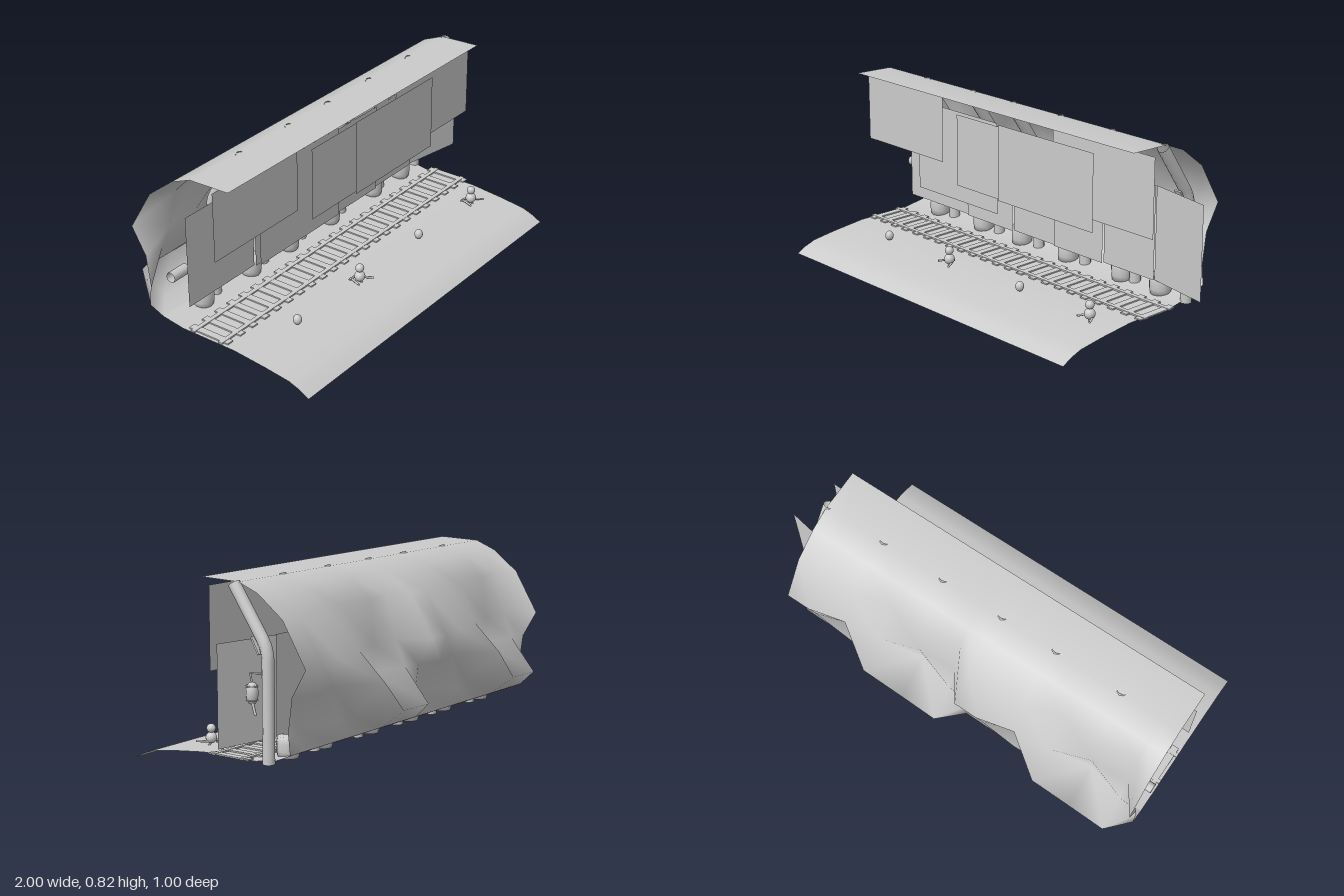
import * as THREE from 'three';

const grey = new THREE.MeshStandardMaterial({ color: 0xcccccc });
const thin = new THREE.MeshStandardMaterial({ color: 0xcccccc, side: THREE.DoubleSide });

function add(parent, name, geometry, x = 0, y = 0, z = 0, material = grey) {
  const mesh = new THREE.Mesh(geometry, material);
  mesh.name = name;
  mesh.position.set(x, y, z);
  parent.add(mesh);
  return mesh;
}

// Smooth open surface through rows of [x, y, z] points, rows running front to back
function sheet(rows) {
  const n = rows[0].length, index = [];
  for (let i = 0; i < rows.length - 1; i++) {
    for (let j = 0; j < n - 1; j++) {
      const a = i * n + j, c = a + n;
      index.push(a, a + 1, c, a + 1, c + 1, c);
    }
  }
  const g = new THREE.BufferGeometry();
  g.setAttribute('position', new THREE.Float32BufferAttribute(rows.flat(2), 3));
  g.setIndex(index);
  g.computeVertexNormals();
  return g;
}

// Straight round rod between two points
function rod(parent, name, from, to, r) {
  const a = new THREE.Vector3(...from), b = new THREE.Vector3(...to);
  const curve = new THREE.LineCurve3(a, b);
  return add(parent, name, new THREE.TubeGeometry(curve, 1, r, 8), 0, 0, 0, thin);
}

export function createModel() {
  const model = new THREE.Group();
  const x0 = -0.99, x1 = 0.82, period = 0.905;

  // Ground strip with a rounded front bank, reaching back to the foot of the wall
  const bank = [[0, 0.5], [0.025, 0.455], [0.045, 0.4], [0.062, 0.28], [0.08, 0.11], [0.082, -0.17], [0.1, -0.28]];
  add(model, 'ground', sheet(bank.map(([y, z]) => [[x0, y, z], [x1, y, z]])), 0, 0, 0, thin);

  // Overhanging roof flowing into a rocky wall whose relief repeats twice
  const steps = [0, 0.09, 0.27, 0.45, 0.62, 0.79];
  const relief = [
    [0.82, 0.11], [0.815, -0.09], [0.775, -0.19],
    [0.68, -0.315, -0.25, -0.29, -0.26, -0.31, -0.315],
    [0.49, -0.43, -0.30, -0.31, -0.37, -0.39, -0.43],
    [0.37, -0.36, -0.35, -0.30, -0.50, -0.35, -0.40],
    [0.22, -0.34, -0.475, -0.47, -0.32, -0.38, -0.29],
    [0.13, -0.35], [0.1, -0.28],
  ];
  const wall = relief.map(([y, ...depth]) => {
    const row = [];
    for (let k = 0; k <= 12; k++) {
      row.push([x0 + Math.floor(k / 6) * period + steps[k % 6], y, depth[(k % 6) % depth.length]]);
    }
    return row;
  });
  add(model, 'rockWall', sheet(wall), 0, 0, 0, thin);

  // Railway track: two flat rails among sleepers
  const track = new THREE.Group();
  track.name = 'track';
  model.add(track);
  for (const z of [0.035, -0.115]) {
    add(track, 'rail', new THREE.BoxGeometry(1.835, 0.007, 0.02), -0.073, 0.087, z);
  }
  for (let i = 0; i < 23; i++) {
    add(track, 'sleeper', new THREE.BoxGeometry(0.034, 0.006, 0.212), -0.96 + i * 0.081, 0.086, -0.04);
  }

  // Bent support posts with a bracket plate at the bend
  const path = new THREE.CurvePath();
  const pt = (y, z) => new THREE.Vector3(0, y, z);
  path.add(new THREE.LineCurve3(pt(0.08, -0.24), pt(0.5, -0.24)));
  path.add(new THREE.QuadraticBezierCurve3(pt(0.5, -0.24), pt(0.55, -0.24), pt(0.59, -0.215)));
  path.add(new THREE.LineCurve3(pt(0.59, -0.215), pt(0.808, -0.066)));
  const postGeometry = new THREE.TubeGeometry(path, 24, 0.026, 10);
  for (const x of [-0.695, -0.37, -0.095, 0.21, 0.52, 0.82]) {
    add(model, 'post', postGeometry, x, 0, 0, thin);
    const plate = add(model, 'bracket', new THREE.BoxGeometry(0.035, 0.08, 0.008), x, 0.565, -0.184);
    plate.rotation.x = 0.5;
  }

  // Barrels along the foot of the wall
  const barrel = new THREE.LatheGeometry([[0, 0], [0.044, 0], [0.05, 0.03], [0.05, 0.065],
    [0.045, 0.092], [0, 0.095]].map((p) => new THREE.Vector2(...p)), 12);
  for (const x of [-0.79, -0.47, -0.2, 0.11, 0.45, 0.68]) {
    add(model, 'barrel', barrel, x, 0.08, -0.23);
  }

  // Flat boards: left, right, bottom, top, depth
  const boards = [
    [-1.0, -0.455, 0.48, 0.797, 0.035], [-0.67, -0.12, 0.30, 0.73, 0.0],
    [-0.355, 0.24, 0.39, 0.73, 0.035], [-0.06, 0.535, 0.39, 0.745, 0.05],
    [0.27, 0.865, 0.44, 0.797, 0.03], [-0.94, -0.51, 0.16, 0.59, -0.173],
    [-0.51, -0.195, 0.16, 0.59, -0.163], [-0.195, 0.085, 0.16, 0.59, -0.173],
    [0.085, 0.39, 0.16, 0.59, -0.163], [0.39, 0.69, 0.16, 0.59, -0.173],
  ];
  for (const [l, r, b, t, z] of boards) {
    add(model, 'board', new THREE.PlaneGeometry(r - l, t - b), (l + r) / 2, (b + t) / 2, z, thin);
  }
  const endBoard = add(model, 'endBoard', new THREE.PlaneGeometry(0.315, 0.43), 0.845, 0.375, -0.152, thin);
  endBoard.rotation.y = -0.176;

  // Lantern hung on the end post
  const lantern = new THREE.Group();
  lantern.name = 'lantern';
  model.add(lantern);
  const shade = [[0, -0.047], [0.014, -0.045], [0.024, -0.025], [0.026, 0], [0.024, 0.025], [0.014, 0.04], [0, 0.045]];
  add(lantern, 'lanternBody', new THREE.LatheGeometry(shade.map((p) => new THREE.Vector2(...p)), 12), 0.852, 0.375, -0.182);
  for (const dy of [-0.03, 0.028]) {
    add(lantern, 'lanternRing', new THREE.TorusGeometry(0.023, 0.003, 6, 14), 0.852, 0.375 + dy, -0.182).rotation.x = Math.PI / 2;
  }
  rod(lantern, 'lanternHook', [0.852, 0.415, -0.182], [0.852, 0.455, -0.172], 0.004);
  rod(lantern, 'lanternArm', [0.852, 0.455, -0.172], [0.835, 0.455, -0.22], 0.004);
  rod(lantern, 'lanternStrut', [0.86, 0.335, -0.19], [0.86, 0.285, -0.205], 0.006);

  // Short pipe projecting at the far end
  rod(model, 'pipe', [-0.995, 0.315, -0.22], [-0.9, 0.315, -0.22], 0.024);

  // Small figures with a round body, head and stick limbs
  for (const x of [-0.23, 0.67]) {
    const figure = new THREE.Group();
    figure.name = 'figure';
    figure.position.set(x, 0, 0.197);
    model.add(figure);
    add(figure, 'body', new THREE.SphereGeometry(0.025, 14, 10), 0, 0.102, 0);
    add(figure, 'head', new THREE.SphereGeometry(0.02, 14, 10), 0, 0.143, 0);
    rod(figure, 'limb', [-0.045, 0.088, 0.03], [-0.02, 0.088, -0.035], 0.005);
    rod(figure, 'limb', [0.01, 0.088, -0.01], [0.045, 0.088, 0.046], 0.005);
    rod(figure, 'limb', [-0.035, 0.088, -0.03], [0.0, 0.088, -0.03], 0.005);
    rod(figure, 'leg', [0, 0.085, 0], [0.012, 0.055, 0.012], 0.005);
  }

  // Loose round stones between the figures
  for (const x of [-0.67, 0.235]) {
    add(model, 'stone', new THREE.SphereGeometry(0.02, 14, 10), x, 0.1, 0.193).scale.set(1, 1.15, 1);
  }

  return model;
}
